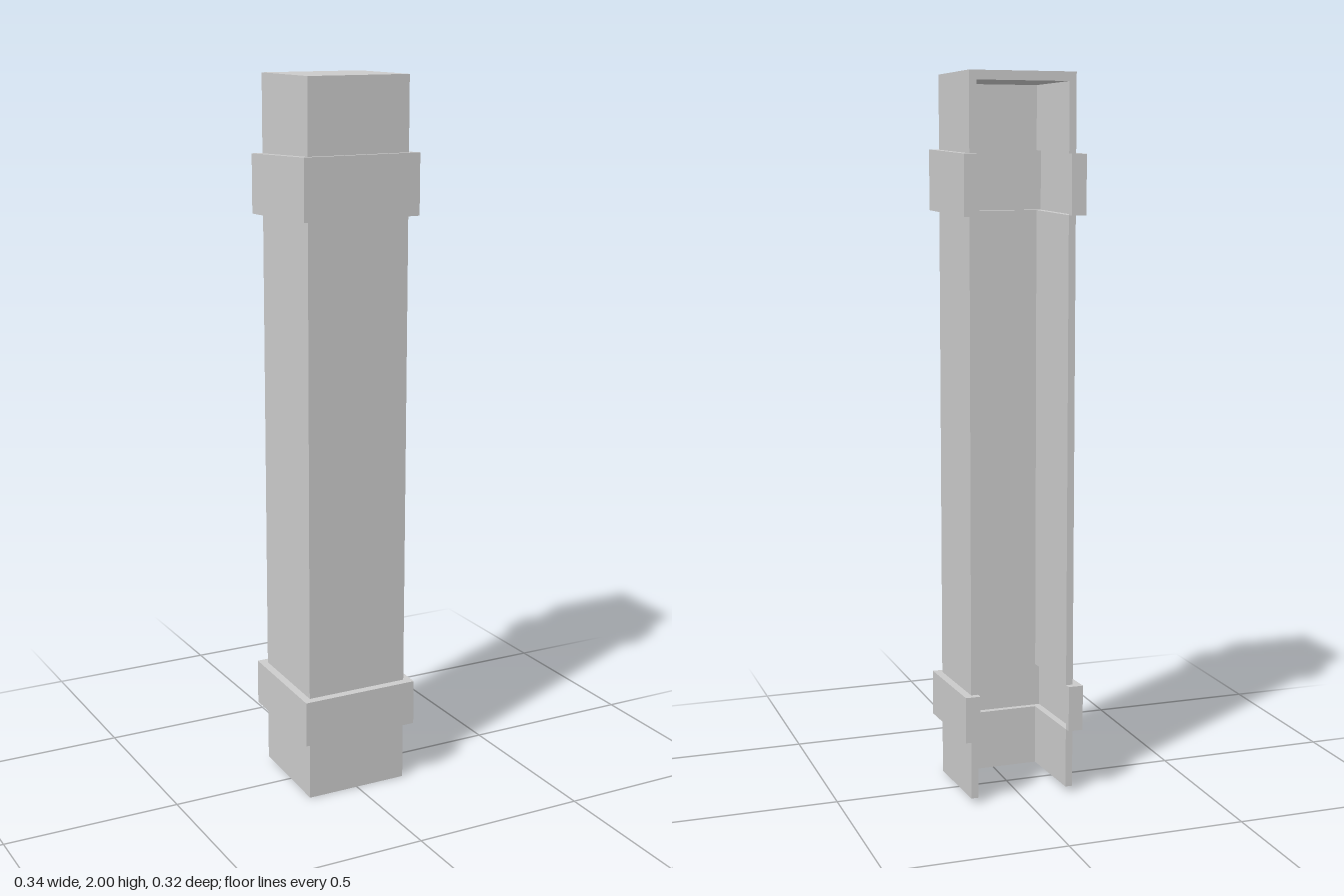
import * as THREE from 'three';

const material = new THREE.MeshStandardMaterial({ color: 0xcccccc, flatShading: true });

// Half width, front/back reach and sheet thickness of the post; outer size of the bands
const W = 0.15, D = 0.136, T = 0.02;
const BW = 0.172, BD = 0.158;

// A cut plane that runs from its height at the front to its height at the back
const cut = (front, back) => (z) => THREE.MathUtils.mapLinear(z, BD, -BD, front, back);

const toShape = (points) => new THREE.Shape(points.map(([x, z]) => new THREE.Vector2(x, -z)));

// Mirrors half of a plan outline, listed from the front centre line to the back, across x
const mirrored = (half) => [...half, ...half.slice().reverse().map(([x, z]) => [-x, z])];

// Upright prism over a plan outline, trimmed by a lower and an upper cut plane
function prism(name, outline, lower, upper) {
  const geometry = new THREE.ExtrudeGeometry(toShape(outline), { depth: 1, bevelEnabled: false });
  geometry.rotateX(-Math.PI / 2);
  const p = geometry.attributes.position;
  for (let i = 0; i < p.count; i++) {
    const z = p.getZ(i);
    p.setY(i, THREE.MathUtils.lerp(lower(z), upper(z), p.getY(i)));
  }
  geometry.computeVertexNormals();
  const mesh = new THREE.Mesh(geometry, material);
  mesh.name = name;
  return mesh;
}

export function createModel() {
  const group = new THREE.Group();
  group.name = 'channelPost';

  // Plan outlines: U-shaped channel, and a wider C-shaped band with lips at the back
  const channel = mirrored([[W, D], [W, -D], [W - T, -D], [W - T, D - T]]);
  const band = mirrored([[BW, BD], [BW, -BD], [W - T, -BD], [W - T, -D], [W, -D], [W, D]]);
  const lid = mirrored([[W - T, D - T], [W - T, -D]]);

  // Slightly tilted cut planes, from the bottom up
  const base = cut(0, 0.017);
  const lowBottom = cut(0.172, 0.186), lowTop = cut(0.301, 0.315);
  const highBottom = cut(1.631, 1.622), highTop = cut(1.798, 1.785);
  const top = cut(2, 2);

  // Channel walls step outwards into a hollow band at two heights
  group.add(
    prism('lowerChannel', channel, base, lowBottom),
    prism('lowerBand', band, lowBottom, lowTop),
    prism('middleChannel', channel, lowTop, highBottom),
    prism('upperBand', band, highBottom, highTop),
    prism('upperChannel', channel, highTop, top),
  );

  // Closed top
  group.add(prism('topLid', lid, cut(1.975, 1.975), top));

  return group;
}
